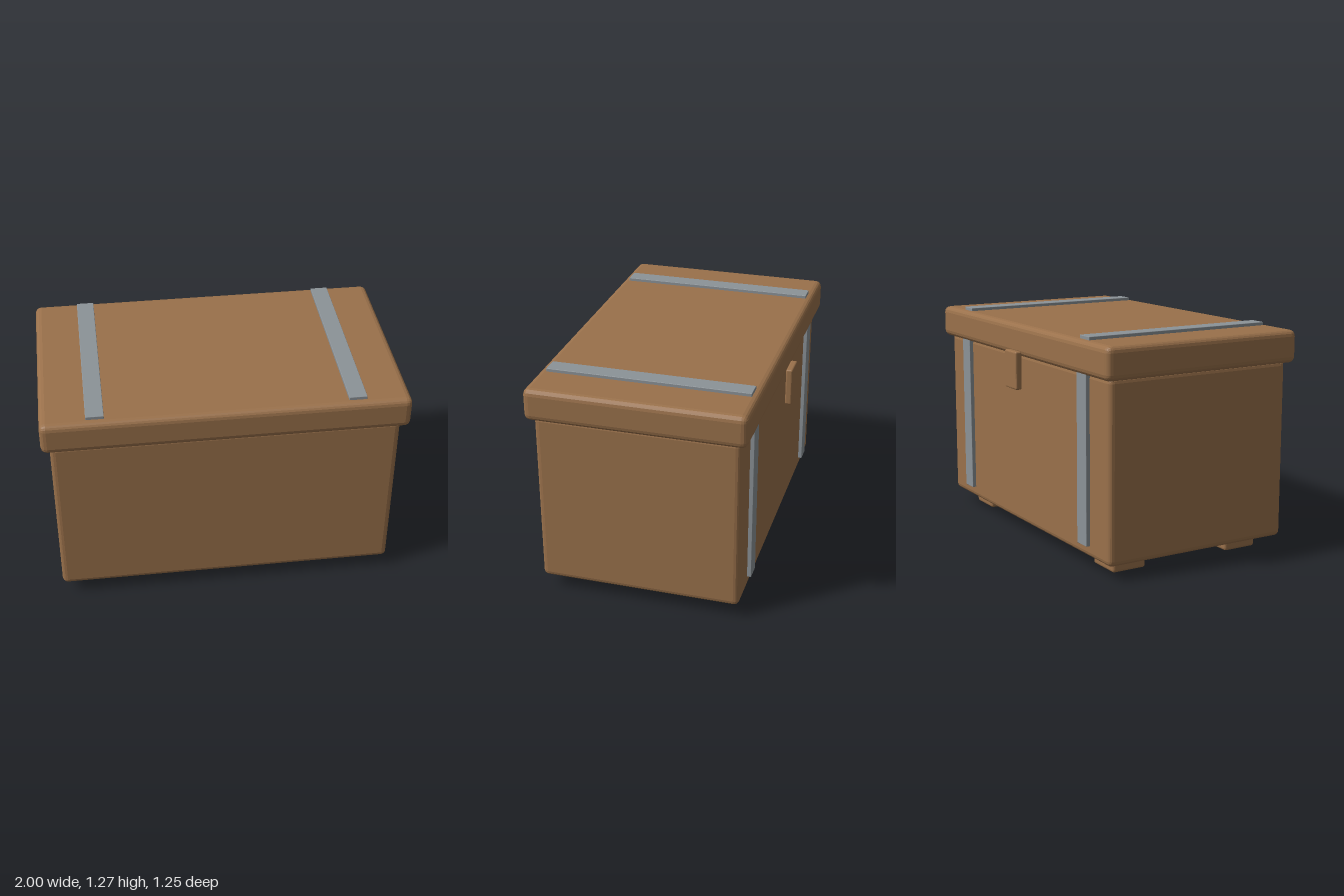
import * as THREE from 'three';
import { RoundedBoxGeometry } from 'three/addons/geometries/RoundedBoxGeometry.js';

const wood = new THREE.MeshStandardMaterial({ color: 0x9a714b });
wood.name = 'wood brown';
const metal = new THREE.MeshStandardMaterial({ color: 0x8c9398 });
metal.name = 'strap grey';

// Box between two corners, with faceted bevelled edges
function block(name, material, [x0, y0, z0], [x1, y1, z1], bevel) {
  const geometry = new RoundedBoxGeometry(x1 - x0, y1 - y0, z1 - z0, 2, bevel);
  geometry.computeVertexNormals(); // unindexed, so this keeps the bevel facets flat
  const mesh = new THREE.Mesh(geometry, material);
  mesh.name = name;
  mesh.position.set((x0 + x1) / 2, (y0 + y1) / 2, (z0 + z1) / 2);
  return mesh;
}

export function createModel() {
  const chest = new THREE.Group();
  chest.name = 'chest';

  // Main box and overhanging lid
  chest.add(block('body', wood, [-0.955, 0.078, -0.545], [0.955, 1.08, 0.583], 0.03));
  chest.add(block('lid', wood, [-1, 1.068, -0.585], [1, 1.25, 0.623], 0.035));

  // Latch hanging from the back of the lid
  chest.add(block('latch', wood, [-0.07, 0.885, -0.623], [0.07, 1.102, -0.584], 0.01));

  for (const [side, s] of [['left', 1], ['right', -1]]) {
    const cx = 0.705 * s;
    // Metal straps over the lid and down the back
    chest.add(block(`${side}LidStrap`, metal, [cx - 0.049, 1.247, -0.547], [cx + 0.049, 1.268, 0.58], 0.003));
    chest.add(block(`${side}BackStrap`, metal, [cx - 0.049, 0.145, -0.568], [cx + 0.049, 1.08, -0.542], 0.003));

    // Feet
    for (const [end, z] of [['Front', 0.388], ['Back', -0.348]]) {
      const fx = 0.733 * s;
      chest.add(block(`${side}${end}Foot`, wood, [fx - 0.103, 0, z - 0.103], [fx + 0.103, 0.1, z + 0.103], 0.015));
    }
  }
  return chest;
}
